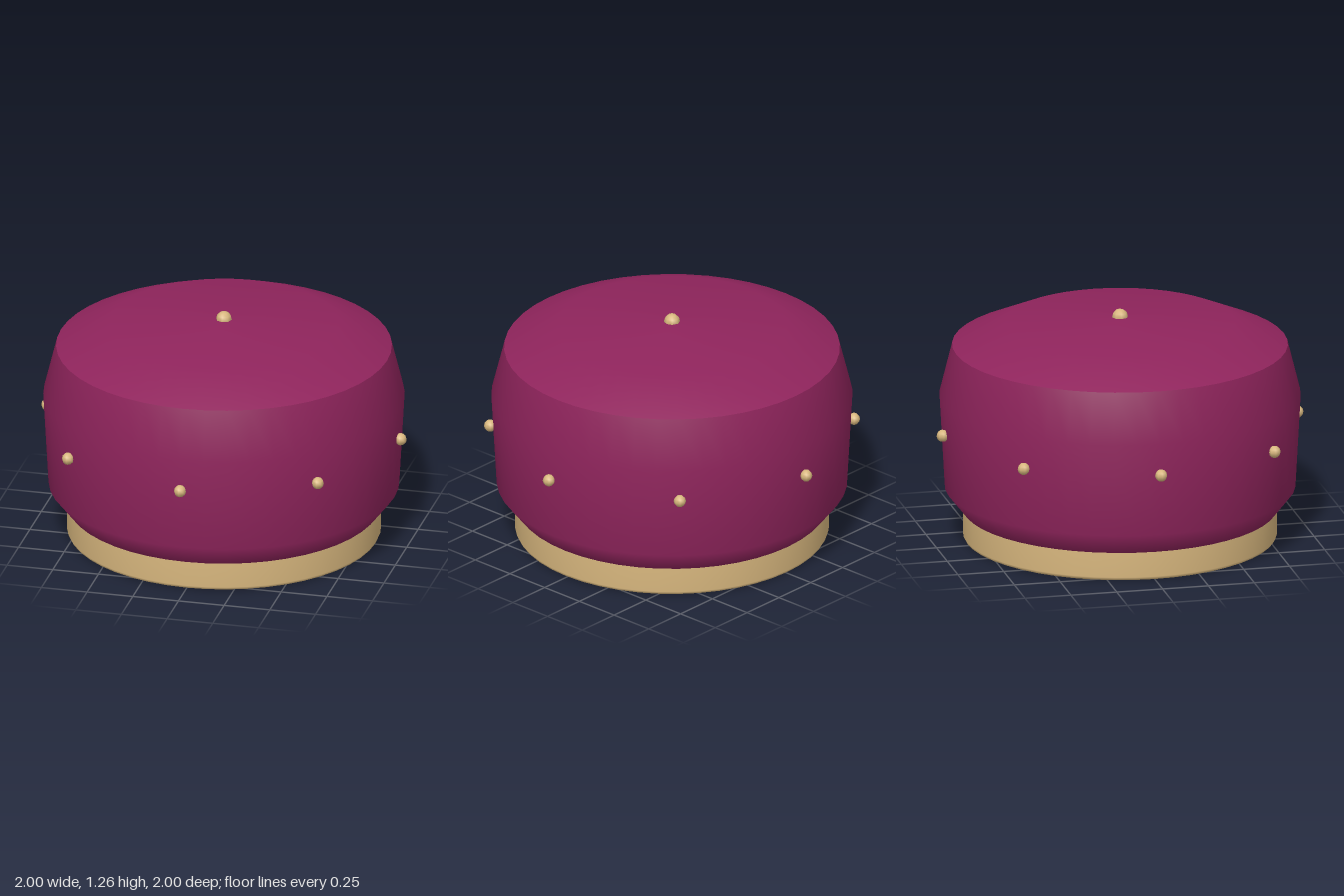
import * as THREE from 'three';

const fabric = new THREE.MeshStandardMaterial({ color: 0x8f245c });
fabric.name = 'plum fabric';
const gold = new THREE.MeshStandardMaterial({ color: 0xd8b77e });
gold.name = 'pale gold';

const SEGMENTS = 48;

// Surface of revolution from [radius, height] pairs, listed bottom to top
function lathe(name, profile, material) {
  const points = profile.map(([r, y]) => new THREE.Vector2(r, y));
  const mesh = new THREE.Mesh(new THREE.LatheGeometry(points, SEGMENTS), material);
  mesh.name = name;
  return mesh;
}

function stud(name, radius, x, y, z) {
  const mesh = new THREE.Mesh(new THREE.SphereGeometry(radius, 8, 6), gold);
  mesh.name = name;
  mesh.position.set(x, y, z);
  return mesh;
}

export function createModel() {
  const model = new THREE.Group();
  model.name = 'pouffe';

  // Base ring with a softened lower edge and a flat underside
  model.add(lathe('baseUnderside', [[0, 0], [0.815, 0]], gold));
  model.add(lathe('base', [
    [0.815, 0], [0.829, 0.006], [0.835, 0.02], [0.835, 0.14], [0.835, 0.16],
  ], gold));

  // Bulging cushion side and domed top, meeting in a sharp seam
  model.add(lathe('cushionSide', [
    [0.835, 0.157], [0.932, 0.28], [0.96, 0.79], [0.892, 1.064],
  ], fabric));
  model.add(lathe('cushionTop', [[0.892, 1.064], [0.61, 1.188], [0, 1.215]], fabric));

  // Studs around the side, plus a button on top
  const studs = new THREE.Group();
  studs.name = 'sideStuds';
  for (let i = 0; i < 8; i++) {
    const a = (i * Math.PI) / 4;
    studs.add(stud('sideStud', 0.033, 0.967 * Math.cos(a), 0.62, 0.967 * Math.sin(a)));
  }
  model.add(studs);
  model.add(stud('topButton', 0.043, 0, 1.215, 0));

  return model;
}
